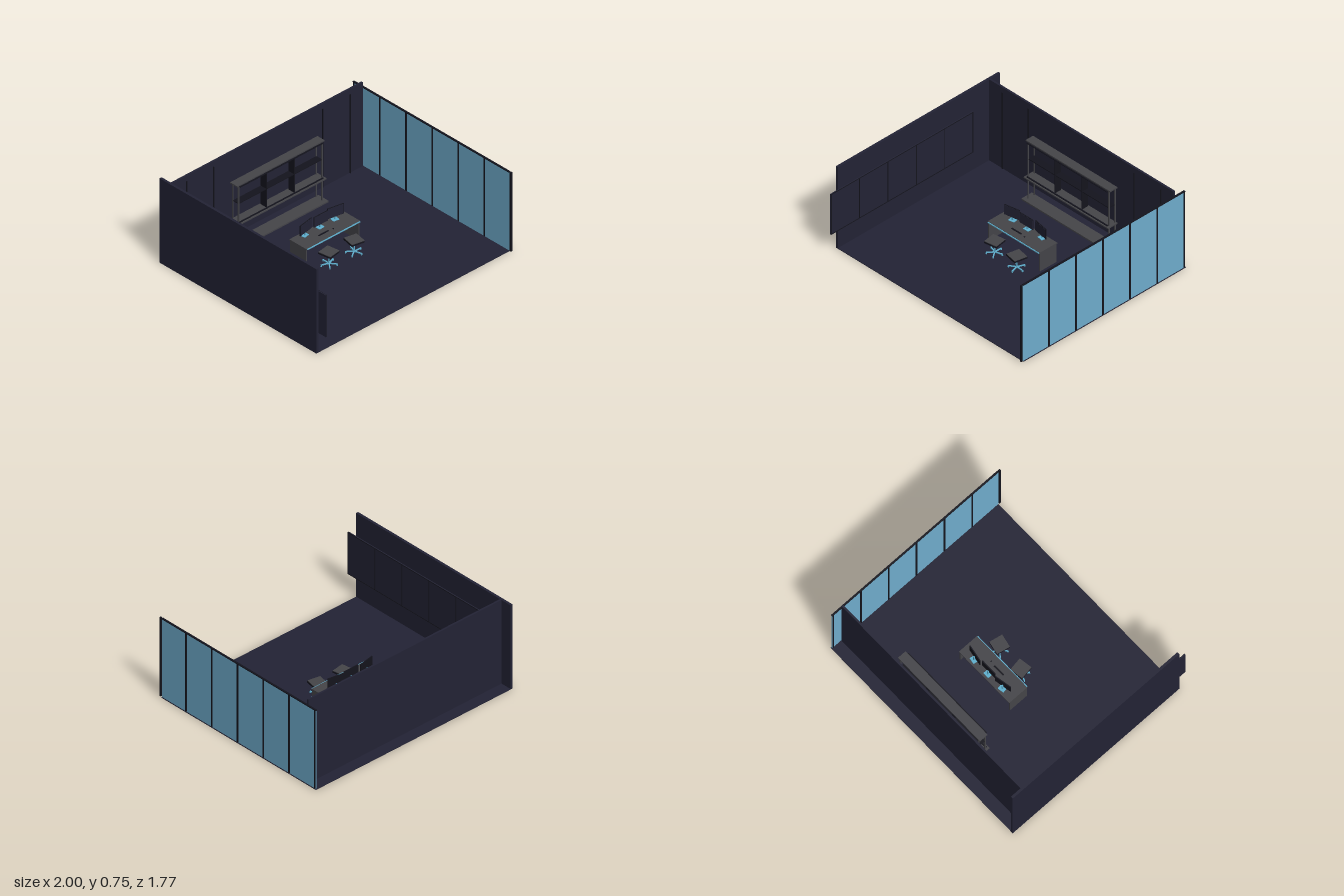
import * as THREE from 'three';

const mat = (name, color) => {
  const m = new THREE.MeshStandardMaterial({ color });
  m.name = name;
  return m;
};

export function createModel() {
  const navy = mat('navy wall', 0x232335);
  const black = mat('black trim', 0x14141d);
  const grey = mat('grey board', 0x454549);
  const cyan = mat('cyan metal', 0x5fb0cf);
  const glass = mat('blue glass', 0x70aece);

  const room = new THREE.Group();
  room.name = 'office';

  // Box given by its limits on each axis
  const box = (parent, name, m, x0, x1, y0, y1, z0, z1) => {
    const mesh = new THREE.Mesh(new THREE.BoxGeometry(x1 - x0, y1 - y0, z1 - z0), m);
    mesh.position.set((x0 + x1) / 2, (y0 + y1) / 2, (z0 + z1) / 2);
    mesh.name = name;
    parent.add(mesh);
    return mesh;
  };
  const group = (name, x = 0, y = 0, z = 0, turn = 0) => {
    const g = new THREE.Group();
    g.name = name;
    g.position.set(x, y, z);
    g.rotation.y = turn;
    room.add(g);
    return g;
  };

  // Floor and solid walls
  box(room, 'floor', navy, -1, 1, 0, 0.006, -0.89, 0.8);
  box(room, 'sideWall', navy, -1, -0.979, 0.006, 0.755, -0.89, 0.8);
  box(room, 'backWall', navy, -0.979, 0.985, 0.006, 0.755, -0.792, -0.775);
  for (const x of [-0.835, -0.557, 0.57, 0.853])
    box(room, 'wallStrip', black, x - 0.004, x + 0.004, 0.006, 0.71, -0.775, -0.768);

  // Row of framed boards on the side wall
  const boards = group('wallBoards');
  const pitch = 0.296;
  box(boards, 'boardPanel', navy, -0.979, -0.971, 0.175, 0.55, -0.6, 0.88);
  for (let i = 0; i <= 5; i++) {
    const z = Math.min(Math.max(-0.6 + i * pitch, -0.597), 0.877);
    box(boards, 'boardUpright', black, -0.972, -0.968, 0.175, 0.55, z - 0.003, z + 0.003);
  }
  for (const y of [0.178, 0.547])
    box(boards, 'boardRail', black, -0.972, -0.968, y - 0.003, y + 0.003, -0.6, 0.88);

  // Glass wall with posts and a top rail
  const glazing = group('glassWall');
  box(glazing, 'glassPane', glass, 0.989, 0.996, 0.006, 0.704, -0.885, 0.8);
  box(glazing, 'glassRail', black, 0.985, 1, 0.704, 0.712, -0.885, 0.8);
  for (let i = 0; i < 7; i++) {
    const z = 0.815 - i * 0.2817;
    box(glazing, 'glassPost', black, 0.985, 1, 0.008, 0.712, z - 0.007, z + 0.007);
  }

  // Shelf unit
  const shelf = group('shelfUnit');
  box(shelf, 'topBoard', grey, -0.445, 0.455, 0.54, 0.55, -0.71, -0.633);
  box(shelf, 'middleBoard', grey, -0.445, 0.455, 0.209, 0.219, -0.71, -0.612);
  box(shelf, 'bottomBoard', grey, -0.457, 0.465, 0.006, 0.018, -0.71, -0.6);
  box(shelf, 'thinBoard', black, -0.425, 0.435, 0.378, 0.385, -0.7, -0.64);
  for (const y of [0.22, 0.534])
    box(shelf, 'shelfTrim', black, -0.425, 0.435, y, y + 0.006, -0.633, -0.622);
  for (const x of [-0.424, 0.436])
    for (const z of [-0.703, -0.64])
      box(shelf, 'shelfLeg', grey, x - 0.005, x + 0.005, 0.018, 0.54, z - 0.005, z + 0.005);
  for (const x of [-0.137, 0.149])
    box(shelf, 'divider', black, x - 0.003, x + 0.003, 0.219, 0.54, -0.7, -0.637);

  // Desk
  const desk = group('desk');
  box(desk, 'deskTop', grey, -0.272, 0.282, 0.168, 0.18, -0.253, -0.07);
  box(desk, 'deskEdge', cyan, -0.265, 0.278, 0.17, 0.178, -0.07, -0.063);
  box(desk, 'modestyPanel', grey, -0.26, 0.27, 0.045, 0.168, -0.222, -0.21);
  for (const x of [-0.267, 0.277])
    box(desk, 'deskSide', grey, x - 0.005, x + 0.005, 0.006, 0.168, -0.245, -0.075);
  box(desk, 'keyboard', black, -0.082, 0.02, 0.18, 0.184, -0.141, -0.129);
  box(desk, 'mouse', black, 0.058, 0.066, 0.18, 0.185, -0.133, -0.122);

  // Three screens turned towards the middle
  for (const [x, turn] of [[-0.15, 0.18], [0.006, 0], [0.157, -0.18]]) {
    const s = group('monitor', x, 0.18, -0.203, turn);
    box(s, 'screen', black, -0.072, 0.072, 0.034, 0.125, -0.004, 0.003);
    box(s, 'screenFace', navy, -0.069, 0.069, 0.037, 0.122, 0.003, 0.005);
    box(s, 'monitorFoot', cyan, -0.027, 0.027, 0, 0.004, -0.032, 0.012);
    box(s, 'monitorStem', cyan, -0.006, 0.006, 0.004, 0.06, -0.014, -0.004);
  }

  // Two swivel stools on five-armed bases
  for (const [x, z, turn] of [[-0.115, 0.01, 0.15], [0.133, 0.023, -0.2]]) {
    const c = group('stool', x, 0, z, turn);
    box(c, 'seatBase', black, -0.057, 0.057, 0.11, 0.124, -0.057, 0.057);
    box(c, 'seatTop', grey, -0.056, 0.056, 0.124, 0.129, -0.056, 0.056);
    const column = new THREE.Mesh(new THREE.CylinderGeometry(0.005, 0.006, 0.09, 12), cyan);
    column.name = 'column';
    column.position.y = 0.065;
    c.add(column);
    for (let i = 0; i < 5; i++) {
      const arm = new THREE.Group();
      arm.name = 'baseArm';
      arm.rotation.y = 0.15 + i * Math.PI * 2 / 5;
      box(arm, 'armBar', cyan, 0, 0.068, 0.017, 0.024, -0.005, 0.005);
      const wheel = new THREE.Mesh(new THREE.CylinderGeometry(0.006, 0.006, 0.008, 10), cyan);
      wheel.name = 'wheel';
      wheel.rotation.x = Math.PI / 2;
      wheel.position.set(0.064, 0.012, 0);
      arm.add(wheel);
      c.add(arm);
    }
  }
  return room;
}
